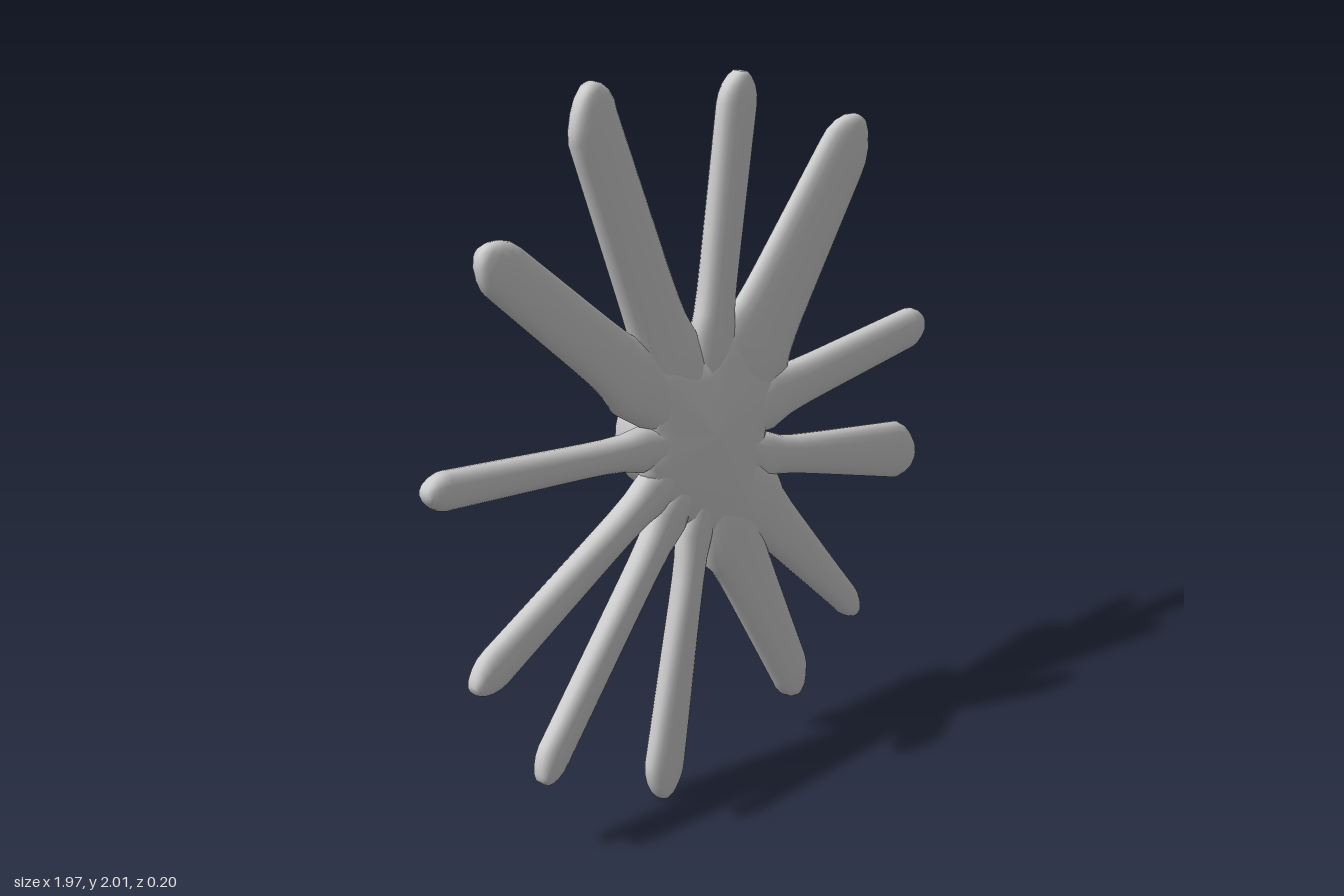
import * as THREE from 'three';

const material = new THREE.MeshStandardMaterial({ color: 0xcccccc });
const MID_Z = 0.04;
const CENTRE = new THREE.Vector2(0.03, 1.0);

// Joins closed rings of equal length into a smooth skin.
function loft(rings) {
  const n = rings[0].length, index = [];
  for (let i = 0; i < rings.length - 1; i++) {
    for (let j = 0; j < n; j++) {
      const k = (j + 1) % n;
      const a = i * n + j, b = i * n + k, c = (i + 1) * n + k, d = (i + 1) * n + j;
      index.push(a, b, c, a, c, d);
    }
  }
  const geometry = new THREE.BufferGeometry().setFromPoints(rings.flat());
  geometry.setIndex(index);
  geometry.computeVertexNormals();
  return geometry;
}

// Arms: [root x, y, half width], [end x, y, half width], tip [x, y]
const ARMS = [
  [[0.06, 1.26, 0.062], [0.155, 1.86, 0.07], [0.17, 1.945]],
  [[0.24, 1.20, 0.14], [0.595, 1.635, 0.103], [0.675, 1.735]],
  [[0.30, 1.03, 0.07], [0.92, 1.08, 0.06], [0.985, 1.085]],
  [[0.28, 0.87, 0.045], [0.86, 0.73, 0.083], [0.955, 0.69]],
  [[0.25, 0.74, 0.085], [0.65, 0.335, 0.043], [0.70, 0.275]],
  [[0.14, 0.68, 0.10], [0.40, 0.20, 0.066], [0.435, 0.115]],
  [[-0.01, 0.73, 0.042], [-0.13, 0.10, 0.07], [-0.14, 0.0]],
  [[-0.12, 0.80, 0.05], [-0.56, 0.28, 0.055], [-0.605, 0.215]],
  [[-0.18, 0.89, 0.048], [-0.76, 0.595, 0.06], [-0.84, 0.555]],
  [[-0.22, 1.02, 0.042], [-0.92, 1.105, 0.05], [-0.985, 1.115]],
  [[-0.25, 1.22, 0.085], [-0.70, 1.595, 0.075], [-0.78, 1.66]],
  [[-0.12, 1.25, 0.095], [-0.385, 1.89, 0.085], [-0.405, 2.0]],
];

// Flattened rounded section across the arm's direction.
function armRing(p, dir, halfWidth, halfDepth, midZ) {
  const sides = 20, ring = [];
  const soft = (v) => Math.sign(v) * Math.pow(Math.abs(v), 0.8);
  for (let j = 0; j < sides; j++) {
    const a = (j / sides) * Math.PI * 2;
    const u = soft(Math.cos(a)) * halfWidth;
    ring.push(new THREE.Vector3(p.x - dir.y * u, p.y + dir.x * u, midZ + soft(Math.sin(a)) * halfDepth));
  }
  return ring;
}

function createArm([root, end, tip]) {
  const r = new THREE.Vector2(root[0], root[1]);
  const e = new THREE.Vector2(end[0], end[1]);
  const t = new THREE.Vector2(tip[0], tip[1]);
  const dir = e.clone().sub(r).normalize();
  const start = CENTRE.clone().lerp(r, 0.5);
  const rings = [armRing(start, dir, 0, 0, MID_Z), armRing(start, dir, root[2], 0.038, MID_Z)];
  // shaft, slightly flared where it leaves the hub
  for (let i = 0; i <= 10; i++) {
    const s = i / 10;
    const flare = 0.02 * Math.pow(1 - s, 12);
    const width = THREE.MathUtils.lerp(root[2], end[2], s) + flare;
    rings.push(armRing(r.clone().lerp(e, s), dir, width, 0.031 + 0.004 * (1 - s), MID_Z));
  }
  // blunt tip
  for (const [s, w, d] of [[0.3, 0.95, 0.97], [0.6, 0.78, 0.9], [0.85, 0.52, 0.78], [1, 0.25, 0.55], [1, 0, 0]]) {
    rings.push(armRing(e.clone().lerp(t, s), dir, end[2] * w, 0.031 * d, MID_Z));
  }
  return loft(rings);
}

// Hub outline passes through the notches between the arms, counterclockwise.
const NOTCHES = [
  [0.30, 1.09], [0.12, 1.27], [-0.01, 1.22], [-0.20, 1.26], [-0.20, 1.06], [-0.22, 0.96],
  [-0.16, 0.86], [-0.07, 0.78], [0.03, 0.71], [0.23, 0.66], [0.25, 0.83], [0.265, 0.92],
];

function createHub() {
  const outline = new THREE.CatmullRomCurve3(
    NOTCHES.map(([x, y]) => new THREE.Vector3(x, y, 0)), true, 'centripetal').getPoints(72).slice(0, -1);
  // [scale, z] from the back to the low front peak
  const profile = [[0, -0.012], [0.5, -0.012], [0.7, 0], [0.88, 0.008], [0.97, 0.02], [1, 0.038],
    [0.98, 0.058], [0.9, 0.07], [0.7, 0.078], [0.4, 0.087], [0.15, 0.094], [0, 0.096]];
  return loft(profile.map(([s, z]) => outline.map((p) => new THREE.Vector3(
    CENTRE.x + (p.x - CENTRE.x) * s, CENTRE.y + (p.y - CENTRE.y) * s, z))));
}

export function createModel() {
  const group = new THREE.Group();
  group.name = 'starburst';
  const add = (name, geometry) => {
    const mesh = new THREE.Mesh(geometry, material);
    mesh.name = name;
    group.add(mesh);
    return mesh;
  };

  add('hub', createHub());
  ARMS.forEach((arm, i) => add(`arm${i + 1}`, createArm(arm)));

  // Round mounting stub behind the hub
  const stub = add('mountingStub', new THREE.CylinderGeometry(0.174, 0.174, 0.13, 32));
  stub.rotation.x = Math.PI / 2;
  stub.position.set(0.01, 1.005, -0.035);
  return group;
}
